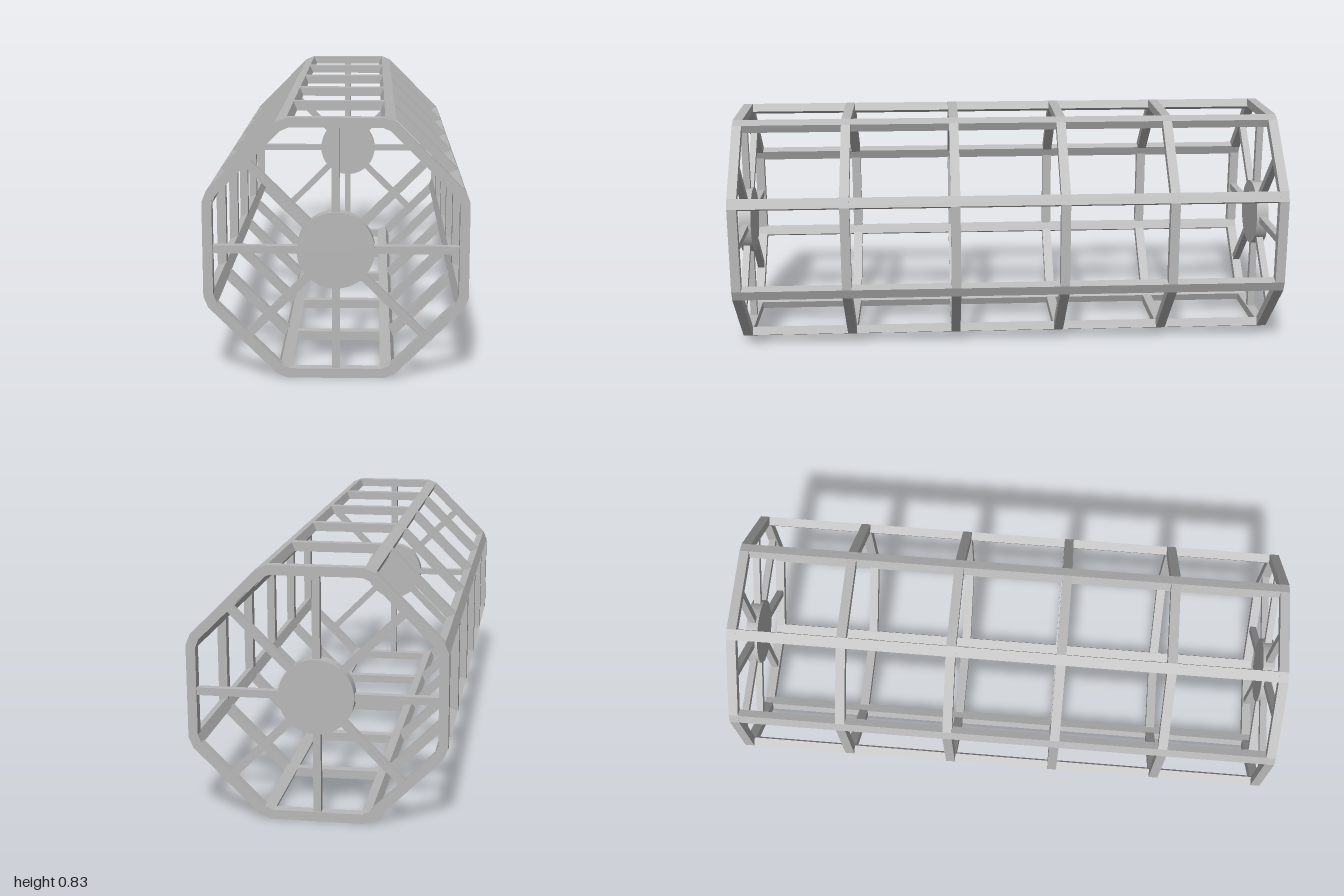
import * as THREE from 'three';

const APOTHEM = 0.417, INNER = 0.386;      // ring frame, outer and inner
const RING_DEPTH = 0.034, RINGS = 6, END_Z = 0.978;
const HUB_R = 0.122, SPOKE = 0.025;

const polar = (r, a) => new THREE.Vector2(r * Math.cos(a), r * Math.sin(a));

// Octagonal frame with trimmed outer corners
function ringGeometry() {
  const step = Math.PI / 4, cut = 0.152;
  const outer = [], inner = [];
  for (let i = 0; i < 8; i++) {
    const a = i * step, swing = Math.atan2(cut, APOTHEM), r = Math.hypot(cut, APOTHEM);
    outer.push(polar(r, a - swing), polar(r, a + swing));
    inner.push(polar(INNER / Math.cos(step / 2), a + step / 2));
  }
  const shape = new THREE.Shape(outer);
  shape.holes.push(new THREE.Path(inner));
  const geo = new THREE.ExtrudeGeometry(shape, { depth: RING_DEPTH, bevelEnabled: false });
  return geo.translate(0, 0, -RING_DEPTH / 2);
}

export function createModel() {
  const model = new THREE.Group();
  model.name = 'octagonalCage';
  const frame = new THREE.Group();
  frame.name = 'frame';
  frame.position.y = APOTHEM;
  model.add(frame);

  const steel = new THREE.MeshStandardMaterial({ color: 0xb8b8b8 });
  steel.name = 'grey steel';

  const add = (name, geo) => {
    const mesh = new THREE.Mesh(geo, steel);
    mesh.name = name;
    frame.add(mesh);
    return mesh;
  };

  // Evenly spaced rings along the length
  const ring = ringGeometry();
  for (let i = 0; i < RINGS; i++) {
    add('ring', ring).position.z = -END_Z + (2 * END_Z * i) / (RINGS - 1);
  }

  // Long rails along the eight corners
  const rail = new THREE.BoxGeometry(0.031, 0.038, 2 * END_Z + RING_DEPTH - 0.002);
  rail.translate(0.4275, 0, 0);
  for (let i = 0; i < 8; i++) {
    add('rail', rail).rotation.z = (i + 0.5) * Math.PI / 4;
  }

  // Hub disc and spokes at each end
  const hub = new THREE.CylinderGeometry(HUB_R, HUB_R, 0.044, 64).rotateX(Math.PI / 2);
  const start = HUB_R - 0.01, end = INNER + 0.005;
  const spoke = new THREE.BoxGeometry(end - start, SPOKE, SPOKE);
  spoke.translate((start + end) / 2, 0, 0);
  for (const side of [1, -1]) {
    add('hub', hub).position.z = side * END_Z;
    for (let i = 0; i < 8; i++) {
      const bar = add('spoke', spoke);
      bar.position.z = side * END_Z;
      bar.rotation.z = i * Math.PI / 4;
    }
  }
  return model;
}
